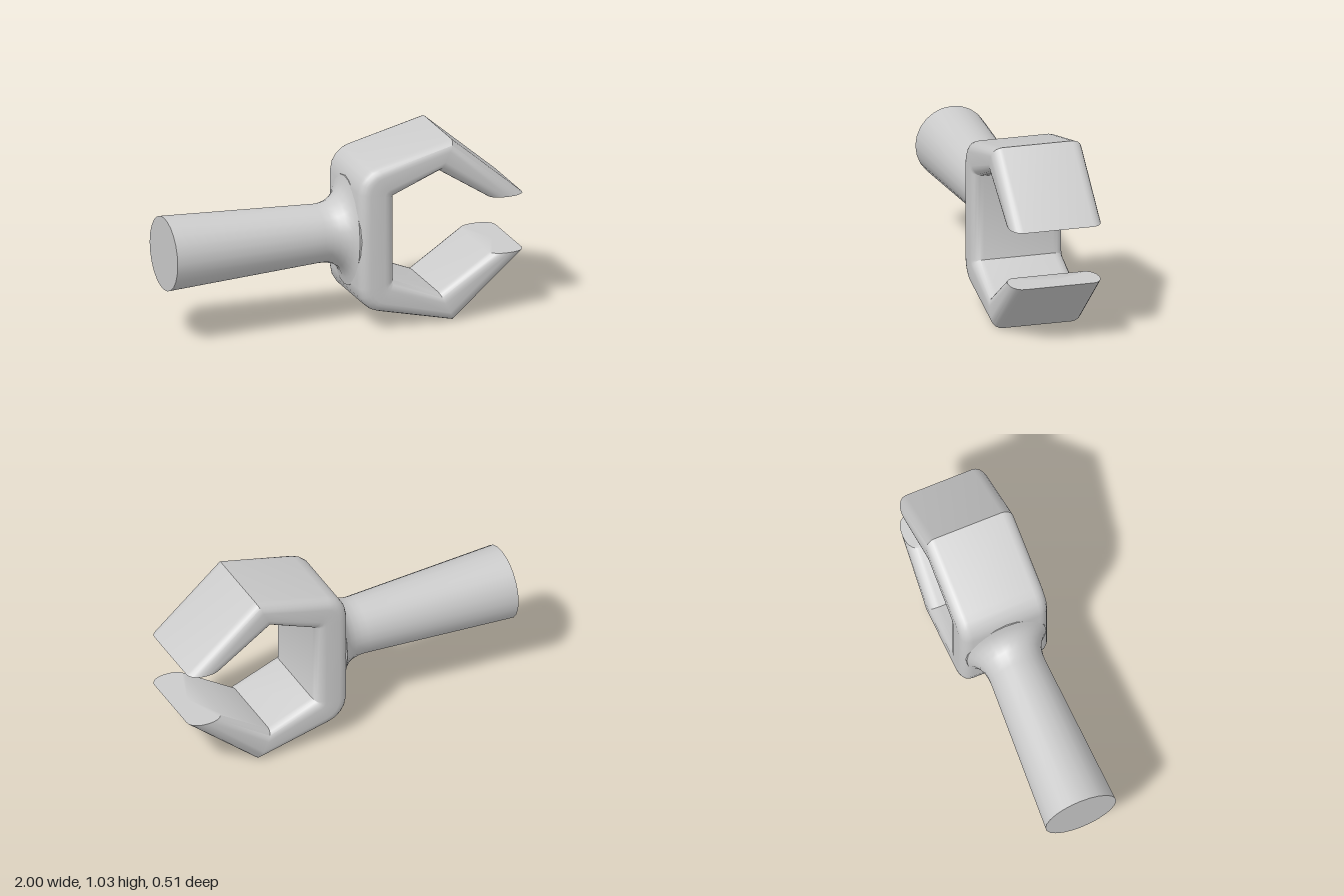
import * as THREE from 'three';
import { toCreasedNormals } from 'three/addons/utils/BufferGeometryUtils.js';

const MID_Y = 0.515;
const HALF_DEPTH = 0.255;
const BEVEL = 0.06;

// Skin over closed rings of points that run counter-clockwise about the sweep direction
function loft(rings) {
  const n = rings[0].length;
  const positions = [];
  const tri = (...pts) => pts.forEach((p) => positions.push(p.x, p.y, p.z));
  for (let i = 0; i + 1 < rings.length; i++) {
    for (let j = 0; j < n; j++) {
      const k = (j + 1) % n;
      const a = rings[i][j], b = rings[i][k], c = rings[i + 1][k], d = rings[i + 1][j];
      tri(a, b, c);
      tri(a, c, d);
    }
  }
  // Flat caps at both ends
  const cap = (ring, atStart) => {
    const centre = ring.reduce((s, p) => s.add(p), new THREE.Vector3()).divideScalar(n);
    for (let j = 0; j < n; j++) {
      const p = ring[j], q = ring[(j + 1) % n];
      if (atStart) tri(centre, q, p);
      else tri(centre, p, q);
    }
  };
  cap(rings[0], true);
  cap(rings[rings.length - 1], false);
  const geometry = new THREE.BufferGeometry();
  geometry.setAttribute('position', new THREE.Float32BufferAttribute(positions, 3));
  return toCreasedNormals(geometry, 0.6);
}

// Rounded rectangle spanning an inner and an outer point of the claw outline
function clawRing([ix, iy, ox, oy, f]) {
  const ring = [];
  const steps = 5;
  for (let corner = 0; corner < 4; corner++) {
    const sz = corner === 0 || corner === 3 ? 1 : -1;
    const su = corner < 2 ? 1 : -1;
    for (let s = 0; s <= steps; s++) {
      const angle = (corner + s / steps) * Math.PI / 2;
      const z = sz * (HALF_DEPTH - BEVEL) + BEVEL * Math.cos(angle);
      const u = 0.5 + su * (0.5 - f) + f * Math.sin(angle);
      ring.push(new THREE.Vector3(ix + (ox - ix) * u, iy + (oy - iy) * u, z));
    }
  }
  return ring;
}

// Ellipse across the handle
function handleRing([x, ry, rz]) {
  const sides = 24;
  return Array.from({ length: sides }, (_, i) => {
    const a = (i / sides) * Math.PI * 2;
    return new THREE.Vector3(x, MID_Y + ry * Math.cos(a), rz * Math.sin(a));
  });
}

export function createModel() {
  const group = new THREE.Group();
  const material = new THREE.MeshStandardMaterial({ color: 0xcccccc });
  const add = (name, geometry) => {
    const mesh = new THREE.Mesh(geometry, material);
    mesh.name = name;
    group.add(mesh);
  };

  // Upper jaw from tip to back wall: inner x, y, outer x, y, bevel fraction
  const upper = [
    [0.8, 0.675, 1.0, 0.675, 0.45],
    [0.51, 0.865, 0.59, 1.03, 0.33],
    [0.245, 0.755, 0.155, 0.926, 0.3],
    [0.245, 0.755, 0.115, 0.91, 0.3],
    [0.245, 0.755, 0.08, 0.88, 0.3],
    [0.245, 0.755, 0.056, 0.84, 0.3],
    [0.245, 0.755, 0.045, 0.785, 0.3],
  ];
  // Lower jaw mirrors the upper one
  const lower = upper
    .map(([ix, iy, ox, oy, f]) => [ix, 2 * MID_Y - iy, ox, 2 * MID_Y - oy, f])
    .reverse();
  add('claw', loft([...upper, ...lower].map(clawRing)));

  // Tapered handle flaring into the back of the claw: x, half height, half depth
  const handle = [
    [-1, 0.206, 0.206],
    [-0.12, 0.161, 0.161],
    [-0.08, 0.163, 0.162],
    [-0.04, 0.174, 0.169],
    [-0.005, 0.196, 0.184],
    [0.02, 0.226, 0.203],
    [0.037, 0.262, 0.22],
    [0.047, 0.31, 0.232],
    [0.12, 0.315, 0.24],
  ];
  add('handle', loft(handle.map(handleRing)));

  return group;
}
